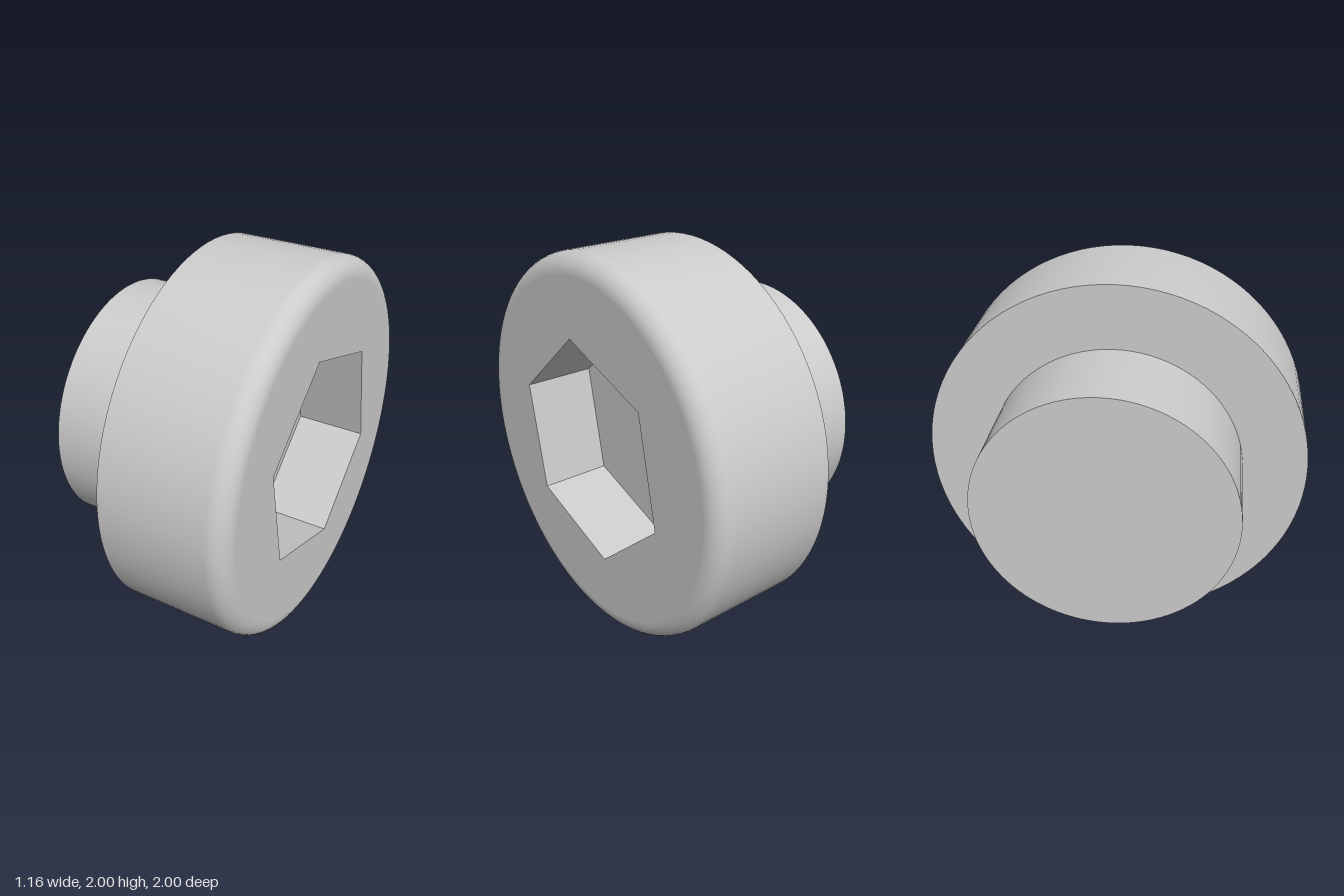
import * as THREE from 'three';
import { toCreasedNormals } from 'three/addons/utils/BufferGeometryUtils.js';

const SEGMENTS = 96;
const HEAD_R = 1, SHANK_R = 0.667, FILLET = 0.1, SOCKET_R = 0.585;
const BACK = -0.585, SHOULDER = -0.085, FRONT = 0.58, SOCKET_FLOOR = 0.2;

export function createModel() {
  const model = new THREE.Group();
  const material = new THREE.MeshStandardMaterial({ color: 0xcccccc });

  function add(name, geometry) {
    const mesh = new THREE.Mesh(geometry, material);
    mesh.name = name;
    model.add(mesh);
  }

  // Turned part: profile of [radius, distance along the axis], axis on z
  function turned(name, profile, segments = SEGMENTS, start = 0) {
    const points = profile.map(([r, d]) => new THREE.Vector2(r, d));
    const geometry = new THREE.LatheGeometry(points, segments, start).rotateX(Math.PI / 2);
    add(name, toCreasedNormals(geometry, 0.6));
  }

  // Plain shank with a flat end
  turned('shank', [[0, BACK], [SHANK_R, BACK], [SHANK_R, SHOULDER]]);

  // Head with flat underside and rounded front rim
  const head = [[SHANK_R, SHOULDER], [HEAD_R, SHOULDER]];
  for (let i = 0; i <= 10; i++) {
    const a = (i / 10) * Math.PI / 2;
    head.push([HEAD_R - FILLET + FILLET * Math.cos(a), FRONT - FILLET + FILLET * Math.sin(a)]);
  }
  turned('head', head);

  // Front face with a hexagonal opening
  const face = new THREE.Shape().absarc(0, 0, HEAD_R - FILLET, 0, Math.PI * 2);
  const corners = [];
  for (let i = 0; i < 6; i++) {
    const a = THREE.MathUtils.degToRad(41 + i * 60);
    corners.push(new THREE.Vector2(SOCKET_R * Math.cos(a), SOCKET_R * Math.sin(a)));
  }
  face.holes.push(new THREE.Path(corners));
  add('headFace', new THREE.ShapeGeometry(face, SEGMENTS).translate(0, 0, FRONT));

  // Hexagonal socket: inward walls and flat floor
  turned('hexSocket', [[SOCKET_R, FRONT], [SOCKET_R, SOCKET_FLOOR], [0, SOCKET_FLOOR]],
    6, THREE.MathUtils.degToRad(11));

  // Lay the axis along x, resting on the ground
  model.rotation.y = Math.PI / 2;
  model.position.y = HEAD_R;
  const root = new THREE.Group();
  root.name = 'socketHeadBolt';
  root.add(model);
  return root;
}
